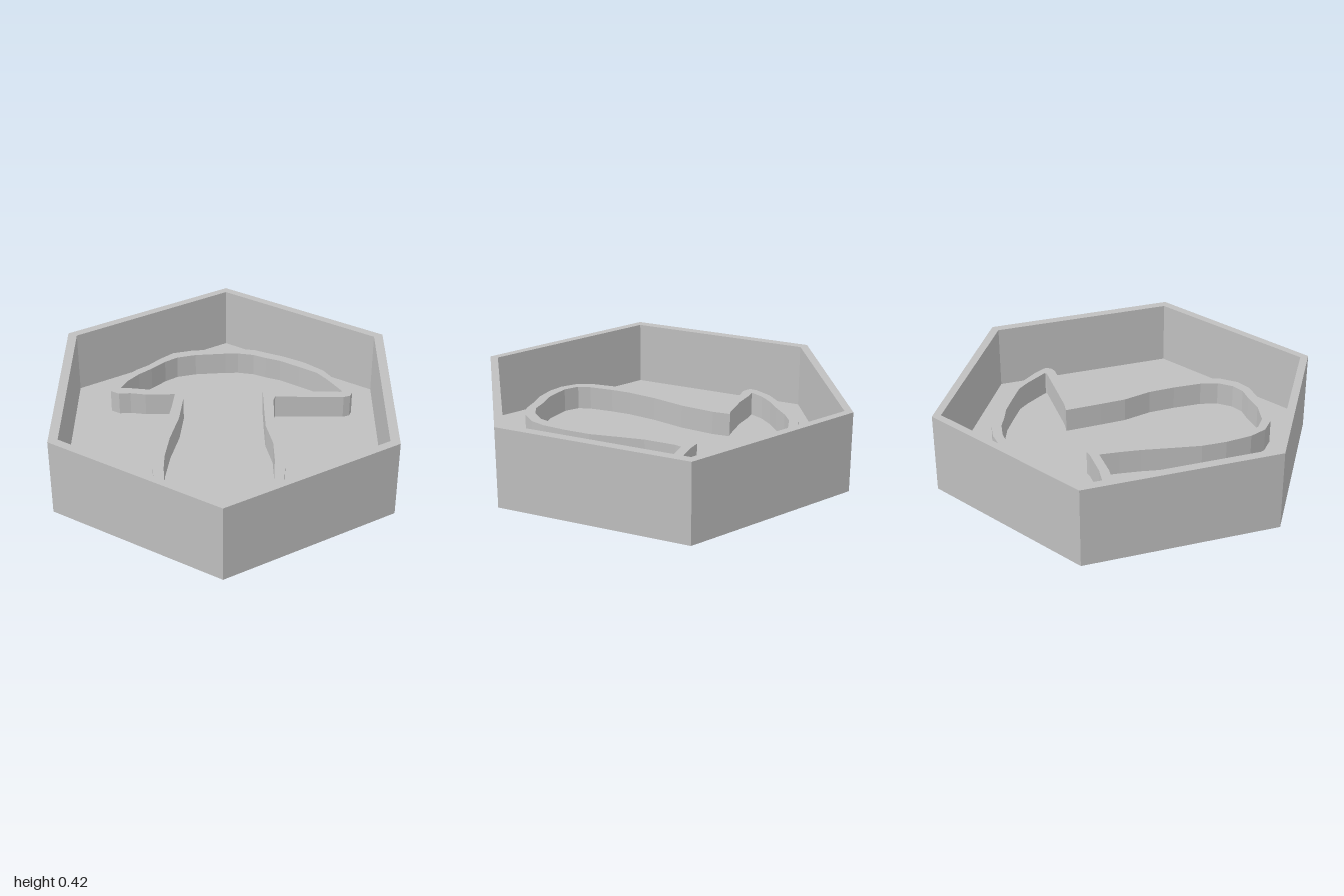
import * as THREE from 'three';

const HEIGHT = 0.42, FLOOR = 0.084, RIDGE_TOP = 0.21;

// Mushroom outline, outer edge of the ridge, as x, z pairs
const OUTER = [
  0.07, -0.69, 0, -0.683, -0.18, -0.67, -0.29, -0.64, -0.36, -0.58, -0.42, -0.515, -0.48, -0.47,
  -0.555, -0.39, -0.6, -0.3, -0.605, -0.26, -0.56, -0.235, -0.5, -0.24, -0.42, -0.228, -0.265, -0.232,
  -0.275, -0.13, -0.29, -0.02, -0.32, 0.135, -0.347, 0.28, -0.35, 0.41, -0.335, 0.55, -0.3, 0.64,
  -0.23, 0.7, -0.15, 0.73, -0.06, 0.74, 0.03, 0.73, 0.12, 0.727, 0.2, 0.69, 0.265, 0.615,
  0.29, 0.535, 0.3, 0.41, 0.3, 0.27, 0.275, 0.12, 0.255, -0.01, 0.255, -0.18, 0.265, -0.213,
  0.625, -0.212, 0.66, -0.225, 0.672, -0.255, 0.64, -0.315, 0.575, -0.4, 0.53, -0.47, 0.43, -0.55,
  0.32, -0.61, 0.245, -0.64, 0.165, -0.675,
];

// Inner edge of the ridge
const INNER = [
  0.07, -0.64, 0, -0.638, -0.165, -0.622, -0.265, -0.595, -0.33, -0.55, -0.4, -0.48, -0.465, -0.425,
  -0.52, -0.36, -0.555, -0.288, -0.5, -0.288, -0.4, -0.275, -0.25, -0.278, -0.225, -0.285, -0.218, -0.19,
  -0.235, -0.01, -0.275, 0.165, -0.295, 0.32, -0.295, 0.425, -0.285, 0.55, -0.265, 0.615, -0.2, 0.665,
  -0.08, 0.69, 0.02, 0.68, 0.1, 0.68, 0.165, 0.65, 0.22, 0.585, 0.245, 0.495, 0.25, 0.345,
  0.245, 0.205, 0.21, 0.055, 0.205, -0.075, 0.2, -0.27, 0.265, -0.262, 0.61, -0.262, 0.62, -0.268,
  0.58, -0.33, 0.54, -0.39, 0.495, -0.445, 0.4, -0.505, 0.3, -0.565, 0.22, -0.595, 0.155, -0.625,
];

// Pairs of x, z become shape points; z flips because shapes are laid down flat
function toPoints(pairs) {
  const points = [];
  for (let i = 0; i < pairs.length; i += 2) points.push(new THREE.Vector2(pairs[i], -pairs[i + 1]));
  return points;
}

function hexagon(halfWidth, halfDepth) {
  const w = halfWidth, d = halfDepth;
  return toPoints([0, -d, -w, -d / 2, -w, d / 2, 0, d, w, d / 2, w, -d / 2]);
}

export function createModel() {
  const group = new THREE.Group();
  group.name = 'hexagonalMushroomMould';
  const grey = new THREE.MeshStandardMaterial({ color: 0xbfbfbf });
  grey.name = 'grey';

  // Upright slab from an outline, with an optional hole
  function slab(name, outline, hole, bottom, top) {
    const shape = new THREE.Shape(outline);
    if (hole) shape.holes.push(new THREE.Path(hole));
    const geometry = new THREE.ExtrudeGeometry(shape, { depth: top - bottom, bevelEnabled: false });
    geometry.rotateX(-Math.PI / 2);
    geometry.translate(0, bottom, 0);
    const mesh = new THREE.Mesh(geometry, grey);
    mesh.name = name;
    group.add(mesh);
  }

  slab('floor', hexagon(0.84, 1), null, 0, FLOOR);
  slab('rimWall', hexagon(0.84, 1), hexagon(0.793, 0.955), FLOOR, HEIGHT);
  slab('mushroomRidge', toPoints(OUTER), toPoints(INNER), FLOOR, RIDGE_TOP);

  return group;
}
